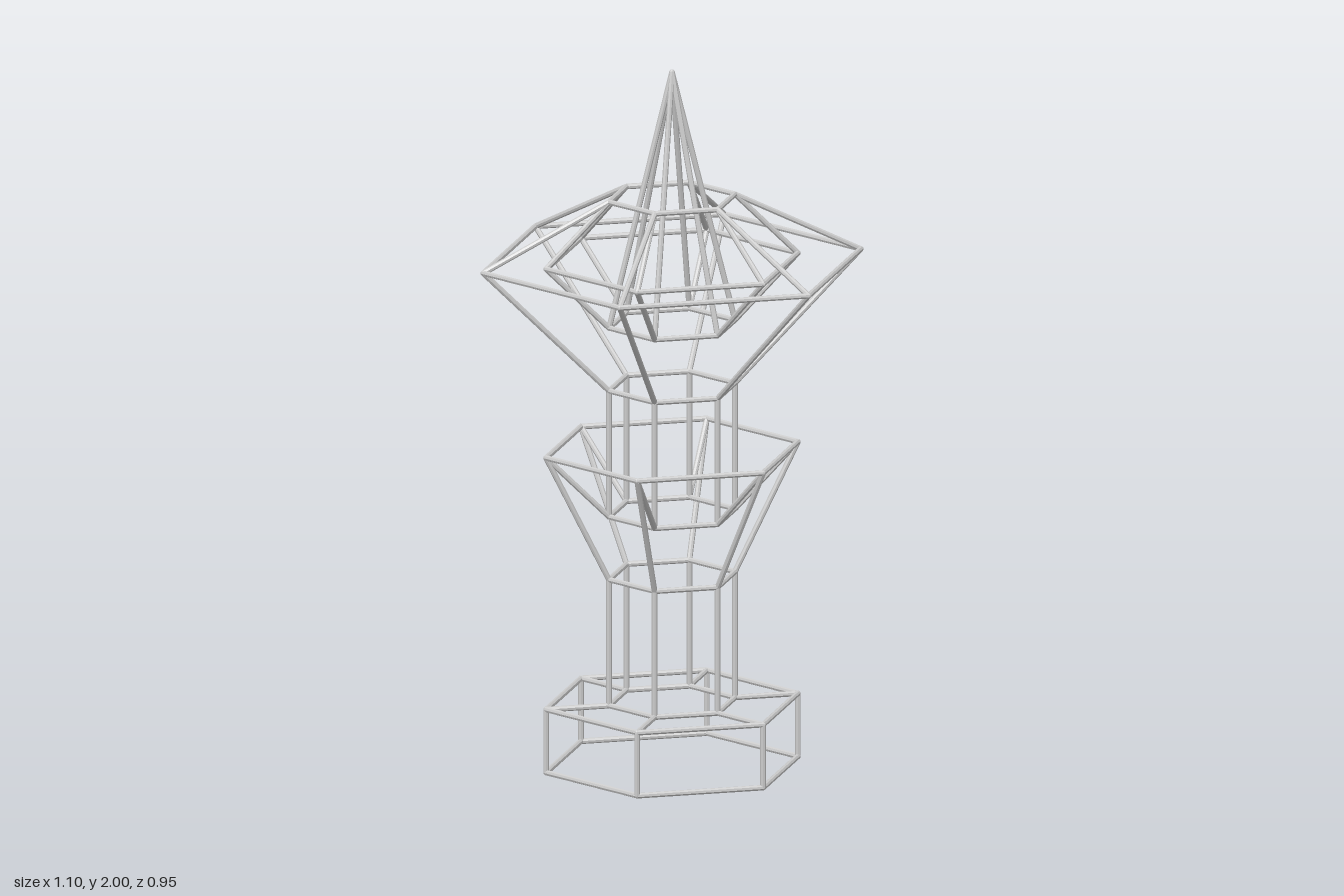
import * as THREE from 'three';

const SIDES = 6;       // hexagonal plan
const ROD = 0.008;     // rod radius
const STEP = (2 - 2 * ROD) / 11; // lattice unit

// Profile in lattice units [radius, height], bottom to top, ending at the tip
const PROFILE = [
  ['baseBottom', 2, 0], ['baseTop', 2, 1],
  ['lowerShaftFoot', 1, 1], ['lowerShaftTop', 1, 3],
  ['balconyRim', 2, 5], ['upperShaftFoot', 1, 4],
  ['upperShaftTop', 1, 6], ['crownRim', 3, 8],
  ['crownTop', 1, 9], ['innerCrownRim', 2, 8],
  ['spireFoot', 1, 7], ['spireTip', 0, 11],
];

export function createModel() {
  const model = new THREE.Group();
  model.name = 'wireTower';
  const material = new THREE.MeshStandardMaterial({ color: 0xcccccc, flatShading: true });
  const rodGeometry = new THREE.CylinderGeometry(ROD, ROD, 1, 8);
  const jointGeometry = new THREE.SphereGeometry(ROD, 8, 6);
  const up = new THREE.Vector3(0, 1, 0);

  const corner = ([, r, h], i) => {
    const a = (i / SIDES) * Math.PI * 2;
    return new THREE.Vector3(Math.cos(a) * r * STEP, ROD + h * STEP, Math.sin(a) * r * STEP);
  };

  // Straight rod between two points
  const addRod = (parent, name, a, b) => {
    const dir = b.clone().sub(a);
    const rod = new THREE.Mesh(rodGeometry, material);
    rod.name = name;
    rod.scale.y = dir.length();
    rod.position.copy(a).add(b).multiplyScalar(0.5);
    rod.quaternion.setFromUnitVectors(up, dir.normalize());
    parent.add(rod);
  };

  const addJoint = (parent, p) => {
    const joint = new THREE.Mesh(jointGeometry, material);
    joint.name = 'joint';
    joint.position.copy(p);
    parent.add(joint);
  };

  PROFILE.forEach((level, k) => {
    // Hexagonal ring with rounded joints, or the single tip
    const ring = new THREE.Group();
    ring.name = level[0];
    model.add(ring);
    const count = level[1] > 0 ? SIDES : 1;
    for (let i = 0; i < count; i++) {
      addJoint(ring, corner(level, i));
      if (count > 1) addRod(ring, 'ringRod', corner(level, i), corner(level, i + 1));
    }

    // Struts up to the next level of the profile
    const next = PROFILE[k + 1];
    if (!next) return;
    const struts = new THREE.Group();
    struts.name = level[0] + 'Struts';
    model.add(struts);
    for (let i = 0; i < SIDES; i++) addRod(struts, 'strut', corner(level, i), corner(next, i));
  });

  return model;
}
